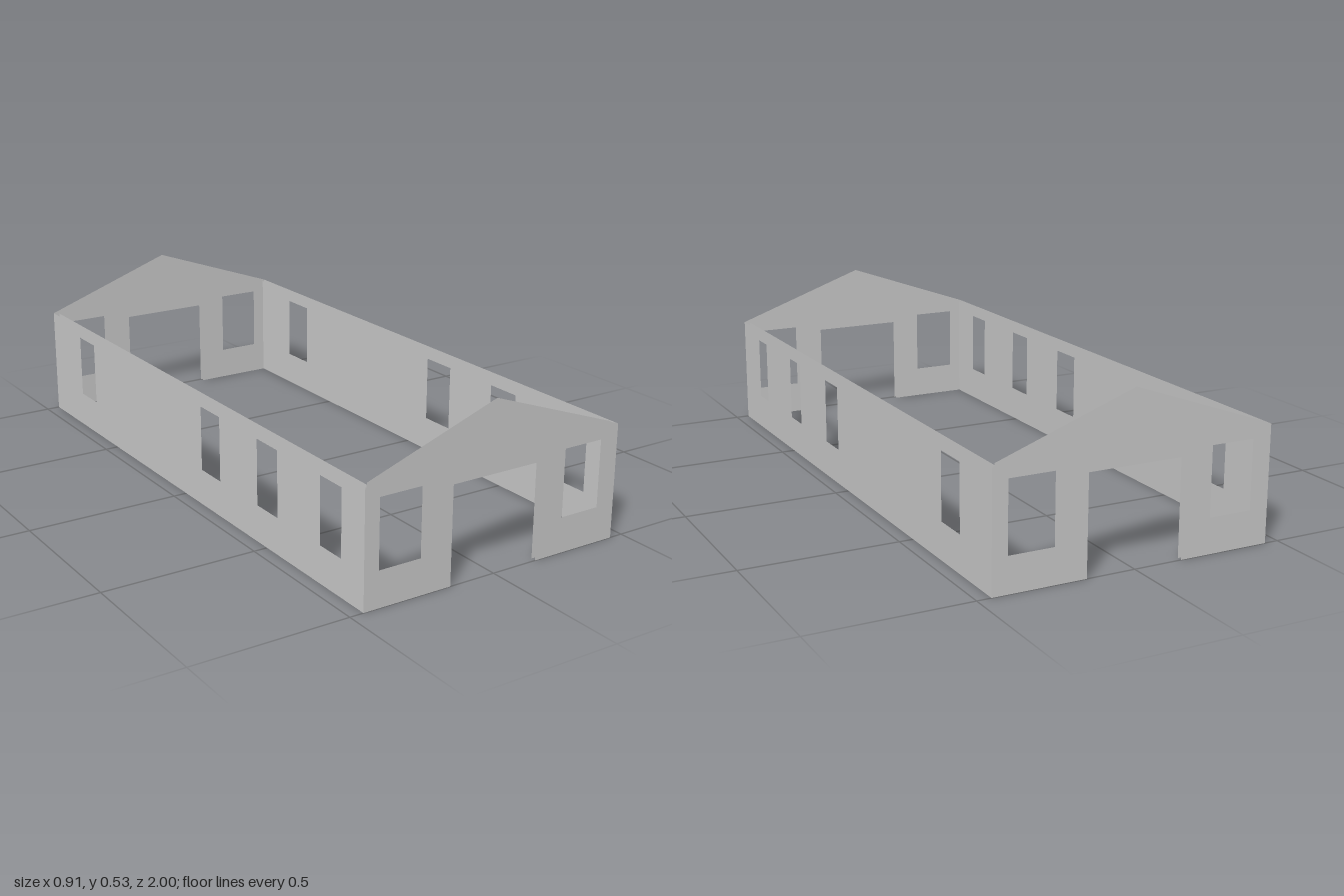
import * as THREE from 'three';

const W = 0.455, L = 1, EAVE = 0.367, RIDGE = 0.528, T = 0.016;
const SILL = 0.105, HEAD = 0.33;
const material = new THREE.MeshStandardMaterial({ color: 0xcccccc, side: THREE.DoubleSide });

function addWindow(shape, a, b) {
  shape.holes.push(new THREE.Path([[a, SILL], [b, SILL], [b, HEAD], [a, HEAD]].map(p => new THREE.Vector2(...p))));
}

function polygon(points) {
  return new THREE.Shape(points.map(p => new THREE.Vector2(...p)));
}

// Gable end with a doorway and two windows; inset trims it to the inner skin
function gableShape(inset) {
  const w = W - inset;
  const eave = EAVE + (RIDGE - EAVE) * inset / W;
  const shape = polygon([
    [-w, 0], [-0.157, 0], [-0.157, 0.31], [0.157, 0.31], [0.157, 0],
    [w, 0], [w, eave], [0, RIDGE], [-w, eave],
  ]);
  addWindow(shape, -0.406, -0.252);
  addWindow(shape, 0.252, 0.406);
  return shape;
}

// Long wall drawn along z, three windows towards the front and one at the back
function sideShape(inset) {
  const l = L - inset;
  const shape = polygon([[-l, 0], [l, 0], [l, EAVE], [-l, EAVE]]);
  for (const [a, b] of [[0.76, 0.89], [0.42, 0.56], [0.08, 0.225], [-0.81, -0.66]]) addWindow(shape, a, b);
  return shape;
}

export function createModel() {
  const model = new THREE.Group();
  model.name = 'openBuilding';

  // Each wall is an outer and an inner skin with an open cavity between them
  for (const [skin, inset] of [['Outer', 0], ['Inner', T]]) {
    const gable = new THREE.ShapeGeometry(gableShape(inset));
    const side = new THREE.ShapeGeometry(sideShape(inset)).rotateY(-Math.PI / 2);
    for (const s of [1, -1]) {
      const end = new THREE.Mesh(gable, material);
      end.name = (s > 0 ? 'front' : 'back') + 'Gable' + skin;
      end.position.z = s * (L - inset);
      if (s < 0) end.rotation.y = Math.PI;
      model.add(end);

      const wall = new THREE.Mesh(side, material);
      wall.name = (s > 0 ? 'left' : 'right') + 'Wall' + skin;
      wall.position.x = s * (W - inset);
      model.add(wall);
    }
  }
  return model;
}
